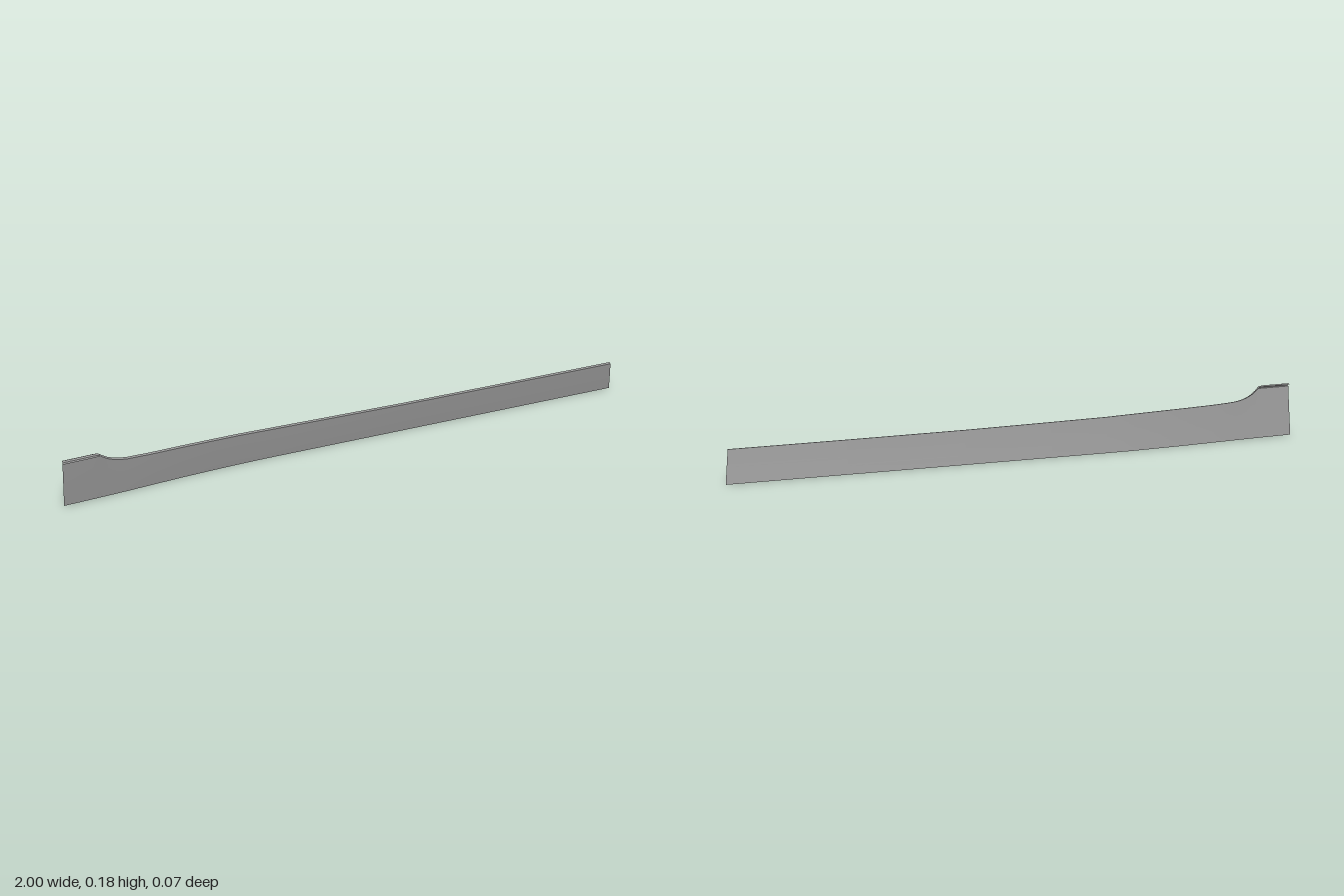
import * as THREE from 'three';

// Stations along the length: x, top height, bottom z, lean (z per unit of height), forward lip amount
const stations = [
  [-1, 0.171, 0.003, 0.165, 1], [-0.94, 0.171, 0.000, 0.169, 1], [-0.9, 0.171, -0.002, 0.171, 1],
  [-0.882, 0.171, -0.003, 0.171, 0.8], [-0.868, 0.163, -0.004, 0.17, 0.2], [-0.85, 0.152, -0.005, 0.168, 0],
  [-0.83, 0.143, -0.006, 0.166, 0], [-0.81, 0.137, -0.0075, 0.165, 0], [-0.785, 0.133, -0.009, 0.165, 0],
  [-0.75, 0.131, -0.012, 0.168, 0], [-0.7, 0.129, -0.0155, 0.173, 0], [-0.6, 0.127, -0.023, 0.183, 0],
  [-0.5, 0.125, -0.0285, 0.19, 0], [-0.4, 0.123, -0.033, 0.194, 0], [-0.3, 0.12, -0.035, 0.197, 0],
  [-0.1, 0.117, -0.035, 0.2, 0], [0.2, 0.113, -0.035, 0.205, 0], [0.6, 0.111, -0.035, 0.205, 0],
  [1, 0.11, -0.035, 0.205, 0],
];

const material = new THREE.MeshStandardMaterial({ color: 0x979797, side: THREE.DoubleSide });

// Smooth open sheet through equal-length cross-sections ordered by x
function sheet(name, rows) {
  const n = rows[0].length;
  const index = [];
  for (let i = 0; i < rows.length - 1; i++) {
    for (let j = 0; j < n - 1; j++) {
      const a = i * n + j, b = a + n;
      index.push(a, b, b + 1, a, b + 1, a + 1);
    }
  }
  const geometry = new THREE.BufferGeometry();
  geometry.setAttribute('position', new THREE.Float32BufferAttribute(rows.flat(2), 3));
  geometry.setIndex(index);
  geometry.computeVertexNormals();
  const mesh = new THREE.Mesh(geometry, material);
  mesh.name = name;
  return mesh;
}

// The right end is cut on a slight slant
const endX = (x, t) => (x === 1 ? x - 0.014 * t : x);

export function createModel() {
  const group = new THREE.Group();
  group.name = 'sideTrim';

  // Leaning main panel, with a very slight outward bow
  group.add(sheet('panel', stations.map(([x, top, z, lean]) =>
    [0, 0.25, 0.5, 0.75, 1].map((t) => {
      const base = 0.002 * Math.max(0, (-0.4 - x) / 0.6);
      return [endX(x, t), base + (top - base) * t, z + lean * top * t + 0.0006 * Math.sin(Math.PI * t)];
    }))));

  // Narrow top flange folded backward, rounded over where the lip stands up
  group.add(sheet('topFlange', stations.map(([x, top, z, lean, lip]) => {
    const front = z + lean * top, ex = endX(x, 1);
    return [
      [ex, top + 0.007 * lip, front + 0.0035 * lip],
      [ex, top + 0.001 + 0.0095 * lip, front - 0.002],
      [ex, top + 0.002 + 0.005 * lip, front - 0.0095],
    ];
  })));

  // Forward lip under the raised end of the flange: underside and upright edge
  const lipStations = stations.slice(0, 6);
  const lipPoints = ([x, top, z, lean, lip]) => {
    const front = z + lean * top;
    return [
      [x, top, front],
      [x, top + 0.001 * lip, front + 0.005 * lip],
      [x, top + 0.007 * lip, front + 0.0035 * lip],
    ];
  };
  group.add(sheet('lipUnderside', lipStations.map((s) => lipPoints(s).slice(0, 2))));
  group.add(sheet('lipEdge', lipStations.map((s) => lipPoints(s).slice(1))));

  return group;
}
